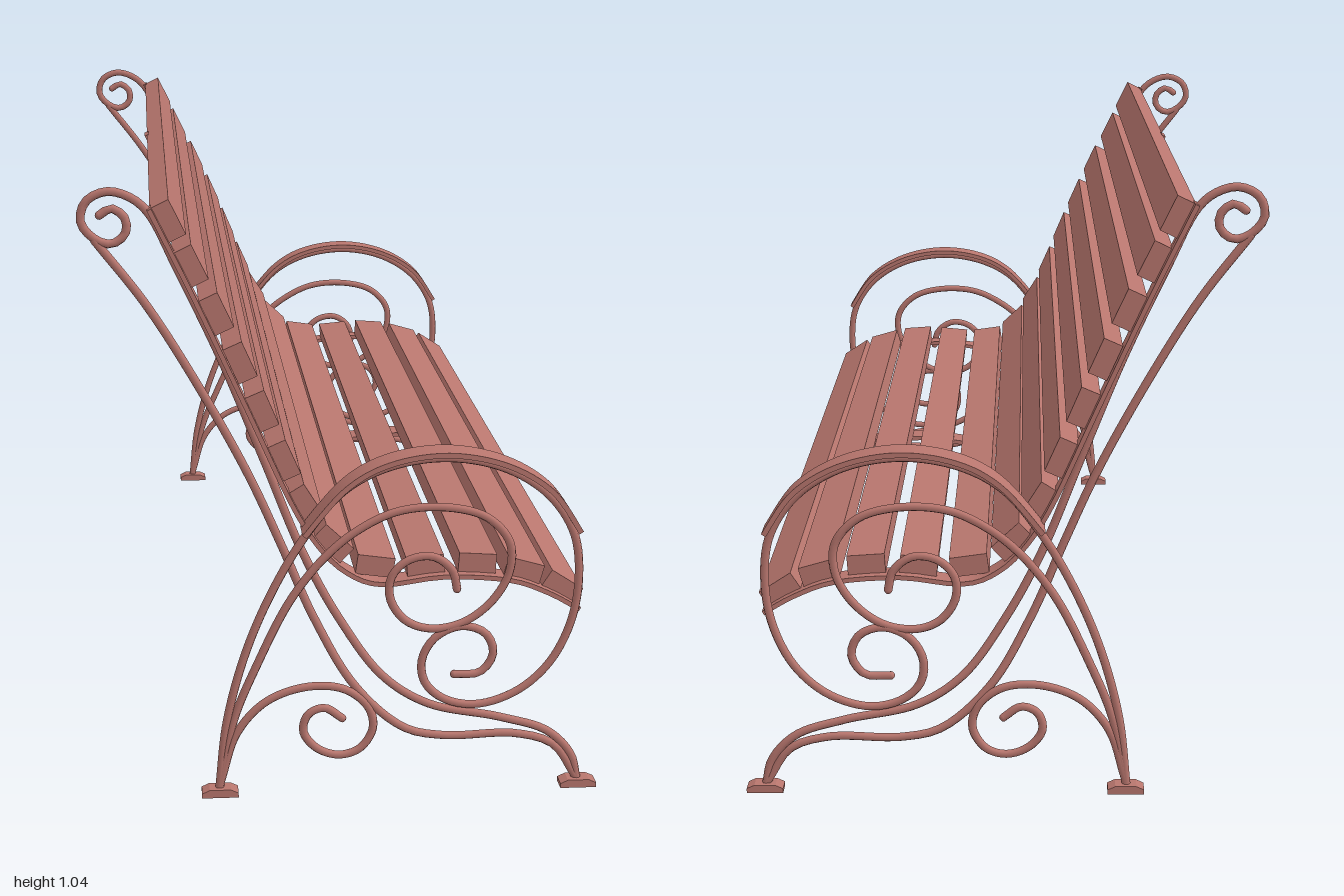
import * as THREE from 'three';
import { toCreasedNormals } from 'three/addons/utils/BufferGeometryUtils.js';

const paint = new THREE.MeshStandardMaterial({ color: 0xb8766e });
paint.name = 'dusty rose paint';

// Side-profile points are drawn in hundredths-like sketch units, then scaled
const U = 363;
const toXY = ([px, py]) => new THREE.Vector2((px - 238) / U, (413 - py) / U);

function add(group, name, geometry) {
  const mesh = new THREE.Mesh(geometry, paint);
  mesh.name = name;
  group.add(mesh);
  return mesh;
}

// Round iron bar through profile points; depth(y) gives its z
function bar(group, name, points, depth) {
  const path = points.map(toXY).map((p) => new THREE.Vector3(p.x, p.y, depth(p.y)));
  const curve = new THREE.CatmullRomCurve3(path, false, 'centripetal');
  add(group, name, new THREE.TubeGeometry(curve, points.length * 6, 0.0072, 8));
  for (const end of [path[0], path[path.length - 1]]) {
    add(group, name + 'End', new THREE.SphereGeometry(0.0072, 8, 6)).position.copy(end);
  }
}

// Flat strip following profile points, extruded from z0 to z1
function strip(group, name, points, thickness, z0, z1) {
  const curve = new THREE.SplineCurve(points.map(toXY));
  const upper = [], lower = [];
  const n = 40;
  for (let i = 0; i <= n; i++) {
    const p = curve.getPoint(i / n), t = curve.getTangent(i / n);
    const off = new THREE.Vector2(-t.y, t.x).multiplyScalar(thickness / 2);
    upper.push(p.clone().add(off));
    lower.unshift(p.clone().sub(off));
  }
  const geometry = new THREE.ExtrudeGeometry(new THREE.Shape([...upper, ...lower]),
    { depth: z1 - z0, bevelEnabled: false });
  geometry.translate(0, 0, z0);
  add(group, name, toCreasedNormals(geometry, 0.6));
}

const railPath = [[123, 48], [150, 104], [180, 170], [205, 226], [222, 255], [240, 273],
  [262, 281], [300, 277], [340, 280], [365, 289], [384, 300]];

// Posts sweep from the top of the back down to the front foot
const scrollPost = [[94, 52], [101, 48], [109, 54], [109, 63], [101, 69], [91, 66], [83, 56],
  [86, 44], [98, 38], [111, 41], [122, 50], [140, 86], [165, 140], [190, 202], [213, 260],
  [235, 302], [262, 339], [290, 357], [335, 367], [365, 377], [380, 393], [384, 409]];
const rearPost = [[91, 67], [120, 105], [150, 154], [180, 210], [200, 255], [220, 302],
  [245, 345], [275, 372], [300, 378], [345, 378], [369, 386], [383, 407]];

// Rear leg sweeps up into the arm loop and curls in on itself
const armLoop = [[161, 409], [166, 365], [178, 320], [195, 280], [215, 246], [238, 219],
  [265, 205], [300, 200], [335, 207], [362, 224], [378, 248], [382, 275], [378, 305],
  [365, 332], [345, 350], [320, 358], [300, 354], [288, 343], [286, 328], [294, 314],
  [310, 307], [325, 312], [330, 325], [322, 337], [306, 338]];
const innerLoop = [[161, 409], [170, 365], [185, 328], [205, 288], [225, 262], [245, 245],
  [270, 233], [300, 231], [325, 238], [339, 254], [339, 273], [328, 292], [310, 305],
  [290, 308], [275, 302], [266, 288], [267, 274], [277, 264], [292, 262], [304, 271], [307, 283]];
const legScroll = [[162, 404], [172, 373], [190, 353], [215, 344], [238, 346], [253, 358],
  [256, 372], [248, 385], [235, 389], [221, 384], [213, 373], [216, 362], [226, 358], [237, 365]];
const armTop = [[213, 245], [238, 216], [265, 201], [300, 196], [335, 203], [363, 220], [381, 246]];

function endFrame(side) {
  const frame = new THREE.Group();
  frame.name = side > 0 ? 'leftEndFrame' : 'rightEndFrame';
  const upright = () => side * 0.973;
  // Posts lean inward between the legs and the seat
  const leaning = (y) => side * (0.973 - 0.026 * THREE.MathUtils.smoothstep(y, 0.1, 0.38)
    - 0.007 * THREE.MathUtils.smoothstep(y, 0.4, 1));
  bar(frame, 'scrollPost', scrollPost, leaning);
  bar(frame, 'rearPost', rearPost, leaning);
  bar(frame, 'armLoop', armLoop, upright);
  bar(frame, 'innerLoop', innerLoop, upright);
  bar(frame, 'legScroll', legScroll, upright);
  const span = (a, b) => (side > 0 ? [a, b] : [-b, -a]);
  strip(frame, 'armrest', armTop, 0.009, ...span(0.945, 1));
  strip(frame, 'endRail', railPath, 0.008, ...span(0.915, 0.96));

  // Low foot pads with sloping shoulders
  for (const x of [-0.211, 0.403]) {
    const pad = new THREE.Shape([[-0.031, 0], [0.031, 0], [0.031, 0.008], [0.018, 0.014],
      [-0.018, 0.014], [-0.031, 0.008]].map(([a, b]) => new THREE.Vector2(a, b)));
    const geometry = new THREE.ExtrudeGeometry(pad, { depth: 0.032, bevelEnabled: false });
    geometry.translate(x, 0, side * 0.973 - 0.016);
    add(frame, 'footPad', geometry);
  }
  return frame;
}

// Slat centres in the side profile, with tilt in degrees
const slats = [[134, 56, -64], [147, 83, -64], [162, 112, -65], [176, 142, -66], [189, 172, -67],
  [202, 203, -66], [215, 231, -58], [232, 256, -43], [258, 271, -8], [289, 271.5, 5],
  [321, 270.5, -4], [350, 276, -16], [374, 287.5, -33]];

export function createModel() {
  const bench = new THREE.Group();
  bench.name = 'bench';

  slats.forEach(([px, py, tilt], i) => {
    const slat = add(bench, i < 8 ? 'backSlat' : 'seatSlat', new THREE.BoxGeometry(0.064, 0.034, 1.885));
    const p = toXY([px, py]);
    slat.position.set(p.x, p.y, 0);
    slat.rotation.z = THREE.MathUtils.degToRad(tilt);
  });

  strip(bench, 'middleRail', railPath, 0.008, -0.027, 0.027);
  bench.add(endFrame(1), endFrame(-1));
  return bench;
}
